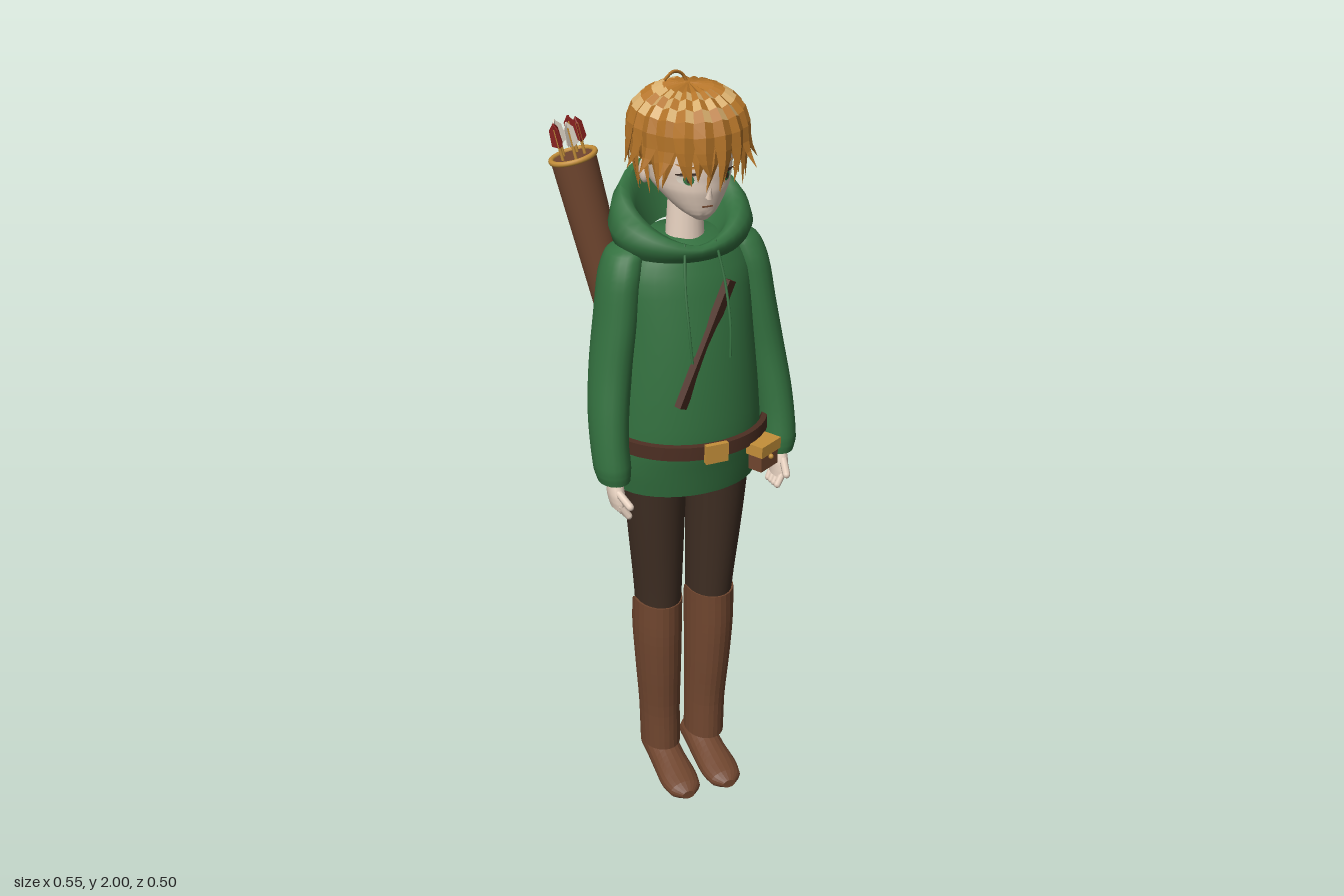
import * as THREE from 'three';
import { toCreasedNormals } from 'three/addons/utils/BufferGeometryUtils.js';

const COLORS = {
  hair: 0xb47428, hairHighlight: 0xd6ad6c, hoodie: 0x33703f, trousers: 0x3f2e23, leather: 0x70462f,
  belt: 0x4c2e22, skin: 0xecd6c4, gold: 0xc48f3a, red: 0x8c2220, cream: 0xd8cfc0,
};

export function createModel() {
  const root = new THREE.Group();
  const M = {};
  for (const [name, color] of Object.entries(COLORS)) {
    M[name] = new THREE.MeshStandardMaterial({ color });
    M[name].name = name;
  }
  const V = (x, y, z) => new THREE.Vector3(x, y, z);
  const add = (name, geo, mat, parent = root) => {
    const m = new THREE.Mesh(geo, mat);
    m.name = name;
    parent.add(m);
    return m;
  };
  const side = (s) => (s > 0 ? 'left' : 'right');

  // closed-loop surface: fn(row, angle) -> Vector3
  function surface(fn, rows, seg, crease = 0.8) {
    const pos = [], idx = [];
    for (let i = 0; i < rows; i++)
      for (let j = 0; j < seg; j++) pos.push(...fn(i, (j / seg) * Math.PI * 2).toArray());
    for (let i = 0; i < rows - 1; i++)
      for (let j = 0; j < seg; j++) {
        const k = (j + 1) % seg, a = i * seg + j, b = a + seg, c = i * seg + k, d = b - j + k;
        idx.push(a, b, c, b, d, c);
      }
    const g = new THREE.BufferGeometry();
    g.setAttribute('position', new THREE.Float32BufferAttribute(pos, 3));
    g.setIndex(idx);
    return toCreasedNormals(g, crease);
  }

  // capped smooth loft through rings [y, cx, cz, rx, rz], listed upward
  function loft(rings, seg = 24, sub = 4) {
    const P = new THREE.CatmullRomCurve3(rings.map((r) => V(r[1], r[0], r[2])));
    const R = new THREE.CatmullRomCurve3(rings.map((r) => V(r[3], 0, r[4])));
    const n = (rings.length - 1) * sub;
    return surface((i, a) => {
      const t = Math.min(Math.max((i - 1) / n, 0), 1);
      const p = P.getPoint(t), r = R.getPoint(t), k = i === 0 || i === n + 2 ? 0 : 1;
      return V(p.x + k * r.x * Math.cos(a), p.y, p.z + k * r.z * Math.sin(a));
    }, n + 3, seg);
  }
  function warp(geo, rule) {
    const p = geo.attributes.position, v = V();
    for (let i = 0; i < p.count; i++) {
      rule(v.fromBufferAttribute(p, i));
      p.setXYZ(i, v.x, v.y, v.z);
    }
    geo.computeVertexNormals();
    return geo;
  }
  // box or capsule laid between two points
  function between(name, geo, mat, a, b) {
    const m = add(name, geo, mat);
    m.position.copy(a).lerp(b, 0.5);
    m.quaternion.setFromUnitVectors(V(0, 1, 0), b.clone().sub(a).normalize());
    return m;
  }
  const tube = (pts, r) => new THREE.TubeGeometry(new THREE.CatmullRomCurve3(pts), 16, r, 6);

  // hoodie body
  add('hoodieBody', loft([
    [0.935, 0, 0.035, 0.192, 0.142], [1.0, 0, 0.04, 0.2, 0.15], [1.08, 0, 0.045, 0.198, 0.16],
    [1.2, 0, 0.045, 0.19, 0.155], [1.35, 0, 0.042, 0.178, 0.14], [1.5, 0, 0.03, 0.175, 0.12],
    [1.57, 0, 0.022, 0.14, 0.1], [1.595, 0, 0.015, 0.08, 0.07],
  ], 36), M.hoodie);

  // lowered hood: rim low at the throat and high behind the neck; rows are [rx, rz, y, rise]
  const hoodRows = [[0.13, 0.1, 1.53, 0], [0.172, 0.122, 1.56, 0.03], [0.184, 0.132, 1.575, 0.07],
    [0.172, 0.132, 1.585, 0.125], [0.15, 0.122, 1.592, 0.16], [0.13, 0.108, 1.588, 0.165],
    [0.112, 0.094, 1.57, 0.13], [0.075, 0.075, 1.54, 0.06]];
  add('hood', surface((i, a) => {
    const [rx, rz, y, rise] = hoodRows[i], b = Math.pow((1 - Math.sin(a)) / 2, 0.75);
    return V(rx * Math.cos(a), y + rise * b, 0.018 + rz * Math.sin(a));
  }, hoodRows.length, 36, 1.2), M.hoodie);

  for (const s of [1, -1]) {
    // sleeves
    add(side(s) + 'Sleeve', loft([
      [1.0, s * 0.226, 0.122, 0.04, 0.05], [1.03, s * 0.228, 0.118, 0.046, 0.057],
      [1.1, s * 0.228, 0.1, 0.047, 0.062], [1.18, s * 0.221, 0.08, 0.05, 0.067],
      [1.28, s * 0.206, 0.06, 0.052, 0.07], [1.4, s * 0.185, 0.046, 0.053, 0.074],
      [1.51, s * 0.168, 0.036, 0.052, 0.072], [1.565, s * 0.15, 0.028, 0.047, 0.058],
      [1.59, s * 0.13, 0.022, 0.025, 0.03],
    ], 20), M.hoodie);
    // hands
    add(side(s) + 'Palm', loft([
      [0.93, s * 0.222, 0.138, 0.017, 0.036], [0.96, s * 0.226, 0.136, 0.02, 0.038],
      [1.015, s * 0.227, 0.125, 0.018, 0.024],
    ], 12), M.skin);
    for (let f = 0; f < 4; f++) {
      const z = 0.108 + f * 0.019;
      between(side(s) + 'Finger', new THREE.CapsuleGeometry(0.0095, 0.035, 3, 8), M.skin,
        V(s * 0.224, 0.94, z), V(s * 0.208, 0.903 + f * 0.004, z + 0.005));
    }
    between(side(s) + 'Thumb', new THREE.CapsuleGeometry(0.01, 0.055, 3, 8), M.skin,
      V(s * 0.23, 0.98, 0.15), V(s * 0.214, 0.955, 0.208));
    // hood strings
    add(side(s) + 'DrawString', tube([V(s * 0.04, 1.6, 0.135), V(s * 0.052, 1.5, 0.168),
      V(s * 0.054, 1.4, 0.197), V(s * 0.05, 1.32, 0.208)], 0.0035), M.hoodie);
    // legs
    add(side(s) + 'Trouser', loft([
      [0.46, s * 0.073, 0.032, 0.056, 0.074], [0.57, s * 0.074, 0.035, 0.06, 0.078],
      [0.8, s * 0.083, 0.045, 0.073, 0.088], [0.98, s * 0.088, 0.05, 0.082, 0.1],
    ]), M.trousers);
    // tall boots, cut lower at the back
    const boot = loft([
      [0.09, s * 0.066, 0.028, 0.053, 0.068], [0.2, s * 0.068, 0.028, 0.054, 0.068],
      [0.35, s * 0.073, 0.032, 0.06, 0.077], [0.48, s * 0.076, 0.033, 0.064, 0.084],
      [0.57, s * 0.075, 0.035, 0.064, 0.082],
    ]);
    add(side(s) + 'Boot', warp(boot, (v) => {
      if (v.y > 0.5 && v.z < 0.02) v.y -= (0.02 - v.z) * 0.9 * ((v.y - 0.5) / 0.07);
    }), M.leather);
    const foot = loft([
      [-0.048, s * 0.06, -0.05, 0.022, 0.022], [-0.03, s * 0.06, -0.052, 0.042, 0.042],
      [0.02, s * 0.06, -0.052, 0.046, 0.05], [0.08, s * 0.06, -0.036, 0.048, 0.045],
      [0.15, s * 0.061, -0.026, 0.052, 0.034], [0.195, s * 0.061, -0.022, 0.044, 0.026],
      [0.22, s * 0.061, -0.02, 0.018, 0.012],
    ], 20).rotateX(Math.PI / 2);
    add(side(s) + 'Foot', warp(foot, (v) => { v.y = Math.max(v.y, v.z < 0.0 ? 0.012 : 0.001); }), M.leather);
  }

  // belt, buckle and pouch
  const beltRows = [[0, -0.02], [0.014, -0.018], [0.014, 0.018], [0, 0.02], [-0.006, 0], [0, -0.02]];
  add('belt', surface((i, a) => V((0.2 + beltRows[i][0]) * Math.cos(a), 1.085 + beltRows[i][1],
    0.048 + (0.175 + beltRows[i][0]) * Math.sin(a)), beltRows.length, 40), M.belt);
  add('buckle', new THREE.BoxGeometry(0.06, 0.05, 0.014), M.gold).position.set(0, 1.085, 0.243);
  const pouch = new THREE.Group();
  pouch.name = 'pouch';
  pouch.position.set(0.147, 1.035, 0.205);
  pouch.rotation.y = 0.5;
  root.add(pouch);
  add('pouchBody', new THREE.BoxGeometry(0.07, 0.065, 0.04), M.leather, pouch).position.y = -0.003;
  add('pouchFlap', new THREE.BoxGeometry(0.08, 0.03, 0.05), M.gold, pouch).position.y = 0.022;
  add('pouchButton', new THREE.SphereGeometry(0.007, 10, 8), M.gold, pouch).position.set(0, -0.002, 0.024);

  // chest strap
  between('chestStrap', new THREE.BoxGeometry(0.032, 0.335, 0.018), M.belt,
    V(0.072, 1.5, 0.153), V(-0.078, 1.2, 0.197));

  // quiver with arrows
  const qa = V(-0.085, 1.2, -0.133), qb = V(-0.2, 1.74, -0.188), qLen = qa.distanceTo(qb);
  const quiver = new THREE.Group();
  quiver.name = 'quiver';
  quiver.position.copy(qb);
  quiver.quaternion.setFromUnitVectors(V(0, 1, 0), qb.clone().sub(qa).normalize());
  root.add(quiver);
  add('quiverTube', new THREE.CylinderGeometry(0.057, 0.045, qLen, 28), M.leather, quiver).position.y = -qLen / 2;
  add('quiverRim', new THREE.TorusGeometry(0.056, 0.007, 8, 32).rotateX(Math.PI / 2), M.gold, quiver);
  for (let i = 0; i < 5; i++) {
    const a = i * 1.257 + 0.4, x = 0.03 * Math.cos(a), z = 0.03 * Math.sin(a), mat = i % 2 ? M.cream : M.red;
    add('arrowShaft', new THREE.CylinderGeometry(0.004, 0.004, 0.09, 8), M.gold, quiver).position.set(x, 0.035, z);
    for (let k = 0; k < 3; k++) {
      const vane = new THREE.Shape([[0, 0.03], [0.017, 0.04], [0.014, 0.08], [0, 0.095]].map((p) => new THREE.Vector2(...p)));
      const m = add('arrowVane', new THREE.ExtrudeGeometry(vane, { depth: 0.003, bevelEnabled: false }), mat, quiver);
      m.position.set(x, 0, z);
      m.rotation.y = a + k * 2.094;
    }
  }

  // neck and head
  add('neck', new THREE.CylinderGeometry(0.04, 0.052, 0.19, 20), M.skin).position.set(0, 1.62, 0.042);
  add('head', loft([
    [1.664, 0, 0.142, 0.016, 0.016], [1.682, 0, 0.12, 0.044, 0.05], [1.71, 0, 0.09, 0.071, 0.088],
    [1.745, 0, 0.065, 0.094, 0.12], [1.8, 0, 0.06, 0.102, 0.126], [1.87, 0, 0.055, 0.1, 0.12],
    [1.93, 0, 0.05, 0.06, 0.07],
  ], 32), M.skin);
  const nose = add('nose', new THREE.ConeGeometry(0.009, 0.03, 8), M.skin);
  nose.position.set(0, 1.742, 0.19);
  nose.rotation.x = 0.35;

  // painted face details wrapped onto the face
  function decal(name, w, h, x, y, off, mat, tilt = 0) {
    const g = new THREE.CircleGeometry(1, 20).scale(w, h, 1).rotateZ(tilt).translate(x, y, 0);
    add(name, warp(g, (v) => { v.z = 0.063 + 0.123 * Math.sqrt(1 - (v.x / 0.1) ** 2) + off; }), mat);
  }
  for (const s of [1, -1]) {
    decal(side(s) + 'EyeWhite', 0.021, 0.013, s * 0.049, 1.774, 0.004, M.cream);
    decal(side(s) + 'Iris', 0.011, 0.0125, s * 0.048, 1.774, 0.006, M.hoodie);
    decal(side(s) + 'Pupil', 0.005, 0.007, s * 0.048, 1.774, 0.008, M.trousers);
    decal(side(s) + 'Lash', 0.024, 0.004, s * 0.05, 1.787, 0.008, M.trousers, -s * 0.12);
    decal(side(s) + 'Brow', 0.025, 0.003, s * 0.048, 1.805, 0.007, M.hair, s * 0.12);
    const ear = add(side(s) + 'Ear', new THREE.SphereGeometry(1, 14, 10).scale(0.012, 0.03, 0.02), M.skin);
    ear.position.set(s * 0.106, 1.765, 0.045);
  }
  const mouth = new THREE.BoxGeometry(0.026, 0.003, 0.004);
  add('mouth', mouth, M.leather).position.set(0, 1.704, 0.177);

  // hair: a cap under two layers of tapered locks fanning from the crown
  add('hairCap', new THREE.SphereGeometry(1, 28, 20).scale(0.118, 0.125, 0.13), M.hair).position.set(0, 1.845, 0.042);
  let seed = 7;
  const rnd = () => (seed = (seed * 16807) % 2147483647) / 2147483647;
  function lock(az, tipY, tipR, width, lift, shine) {
    const at = (r, y, twist = 0) => V(Math.sin(az + twist) * r * (0.13 + lift), y,
      0.06 + Math.cos(az + twist) * r * (0.148 + lift));
    const curve = new THREE.CatmullRomCurve3([at(0.04, 1.958 + lift), at(0.5, 1.945 + lift), at(0.87, 1.9 + lift),
      at(1, 1.83), at(tipR, tipY, (rnd() - 0.5) * 0.28)]);
    const rows = 10, out = V(Math.sin(az), 0, Math.cos(az)), tan = V(Math.cos(az), 0, -Math.sin(az));
    const pos = [[], []], ring = [];
    for (let i = 0; i <= rows; i++) {
      const t = i / rows, p = curve.getPoint(t), d = curve.getTangent(t);
      const n = out.clone().addScaledVector(d, -out.dot(d)).add(V(0, 0.3 * (1 - t), 0)).normalize();
      const w = width * Math.min(0.12 + t * 2, 1.1) * Math.min(1, (1 - t) * 2.4);
      ring.push([p.clone().addScaledVector(tan, w), p.clone().addScaledVector(n, w * 0.45 + 0.001),
        p.clone().addScaledVector(tan, -w), p.clone().addScaledVector(n, -w * 0.3)]);
    }
    for (let i = 0; i < rows; i++)
      for (let j = 0; j < 4; j++) {
        const k = (j + 1) % 4, a = ring[i][j], b = ring[i + 1][j], c = ring[i][k], d = ring[i + 1][k];
        const lit = shine && i >= 2 && i <= 4 && j === (i % 2);
        for (const v of [a, c, b, b, c, d]) pos[lit ? 1 : 0].push(v.x, v.y, v.z);
      }
    const g = new THREE.BufferGeometry();
    g.setAttribute('position', new THREE.Float32BufferAttribute([...pos[0], ...pos[1]], 3));
    g.addGroup(0, pos[0].length / 3, 0);
    g.addGroup(pos[0].length / 3, pos[1].length / 3, 1);
    g.computeVertexNormals();
    add('hairLock', g, [M.hair, M.hairHighlight]);
  }
  for (let layer = 0; layer < 2; layer++) {
    const n = layer ? 19 : 24;
    for (let i = 0; i < n; i++) {
      const az = ((i + layer * 0.5) / n) * Math.PI * 2, back = (1 - Math.cos(az)) / 2;
      const front = back < 0.13;
      const tipY = front ? 1.785 - (i === 0 ? 0.035 : rnd() * 0.02) : 1.742 - 0.042 * back + layer * 0.045 + rnd() * 0.02;
      const tipR = front ? 1.02 : 1.04 - 0.36 * back * back + layer * 0.16;
      lock(az, tipY, tipR, layer ? 0.026 : 0.024, layer * 0.009, layer === 1 || i % 2 === 0);
    }
  }
  // loose strand on the crown
  add('crownStrand', tube([V(0.005, 1.955, 0.05), V(-0.008, 1.985, 0.045), V(-0.035, 1.996, 0.055),
    V(-0.068, 1.983, 0.075)], 0.004), M.hair);

  return root;
}
